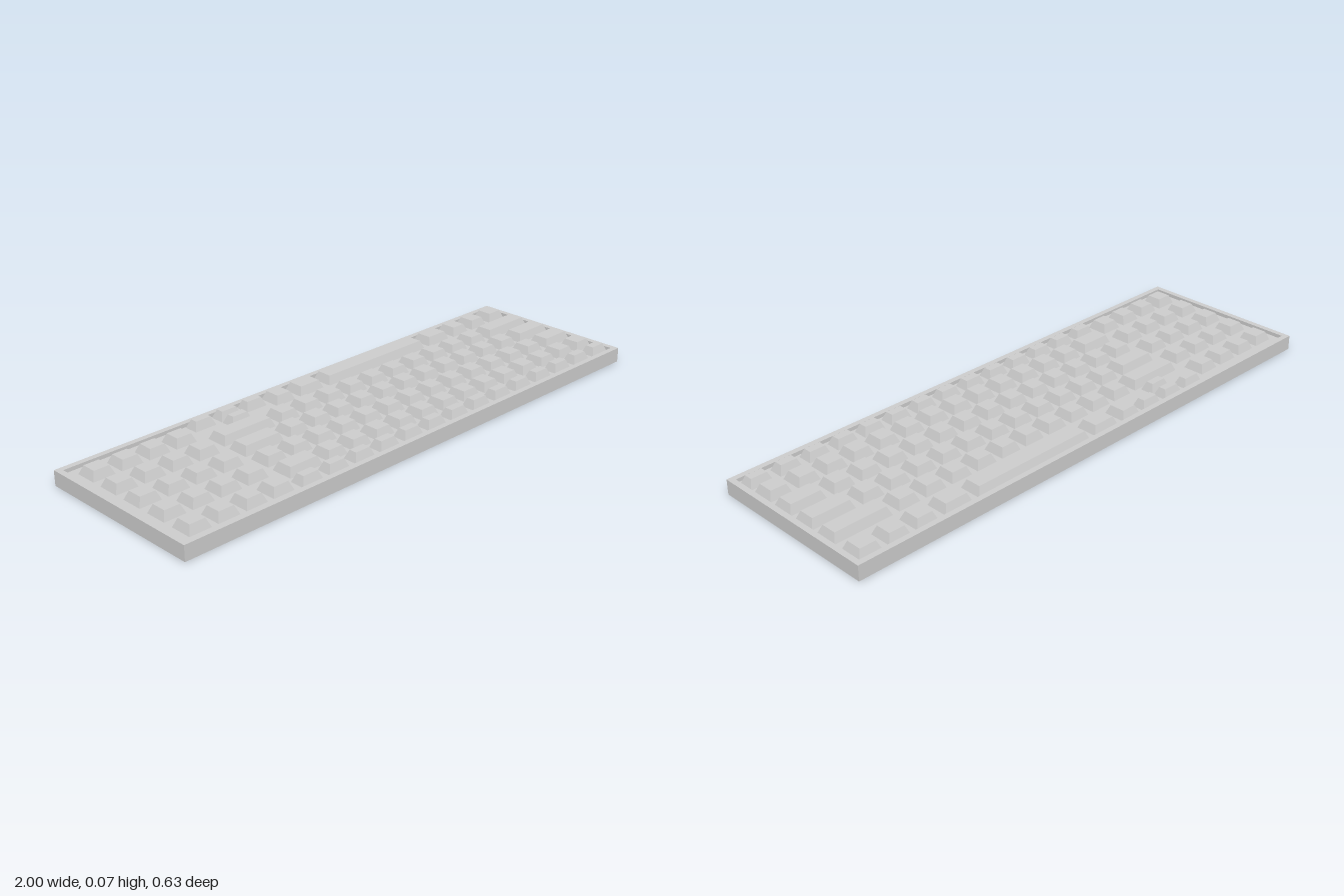
import * as THREE from 'three';

const material = new THREE.MeshStandardMaterial({ color: 0xcccccc, flatShading: true });
const FLOOR = 0.04, RIM = 0.053, KEY_TOP = 0.07, BEVEL = 0.0125;

// Joins a stack of centred rectangles [width, depth, y] into a flat-sided solid.
function loftRects(rects) {
  const corners = [[-1, 1], [1, 1], [1, -1], [-1, -1]];
  const point = ([w, d, y], i) => {
    const [sx, sz] = corners[i % 4];
    return [sx * w / 2, y, sz * d / 2];
  };
  const positions = [];
  for (let r = 0; r < rects.length - 1; r++) {
    for (let i = 0; i < 4; i++) {
      const a = point(rects[r], i), b = point(rects[r], i + 1);
      const c = point(rects[r + 1], i + 1), d = point(rects[r + 1], i);
      if (rects[r][0] > 0) positions.push(...a, ...b, ...c);
      if (rects[r + 1][0] > 0) positions.push(...a, ...c, ...d);
      else positions.push();
    }
  }
  const geometry = new THREE.BufferGeometry();
  geometry.setAttribute('position', new THREE.Float32BufferAttribute(positions, 3));
  geometry.computeVertexNormals();
  return geometry;
}

// Tapered keycap covering x0..x1, z0..z1 at the tray floor.
function addKey(group, name, x0, x1, z0, z1) {
  const w = x1 - x0, d = z1 - z0;
  const key = new THREE.Mesh(loftRects([
    [0, 0, FLOOR], [w, d, FLOOR],
    [w - 2 * BEVEL, d - 2 * BEVEL, KEY_TOP], [0, 0, KEY_TOP],
  ]), material);
  key.position.set((x0 + x1) / 2, 0, (z0 + z1) / 2);
  key.name = name;
  group.add(key);
}

export function createModel() {
  const model = new THREE.Group();
  model.name = 'keyboard';

  // Case with a shallow tray sunk into its top
  const body = new THREE.Mesh(loftRects([
    [0, 0, 0], [2, 0.626, 0], [2, 0.626, RIM],
    [1.96, 0.586, RIM], [1.96, 0.586, FLOOR], [0, 0, FLOOR],
  ]), material);
  body.name = 'case';
  model.add(body);

  // Number pad: 4 x 5 square keys
  const pad = new THREE.Group();
  pad.name = 'numberPad';
  for (let col = 0; col < 4; col++) {
    for (let row = 0; row < 5; row++) {
      const x = -0.909 + col * 0.1035, z = -0.222 + row * 0.1135;
      addKey(pad, 'padKey', x - 0.04, x + 0.04, z - 0.039, z + 0.039);
    }
  }
  model.add(pad);

  // Main rows: evenly spaced keys between first and last left edge, plus wide keys
  const rows = [
    { name: 'spaceRow', z: -0.246, wide: [[-0.2, -0.12], [-0.093, 0.013], [0.04, 0.522],
      [0.548, 0.655], [0.683, 0.763], [0.787, 0.867], [0.891, 0.973]] },
    { name: 'shiftRow', z: -0.134, first: -0.281, last: 0.655, count: 10, wide: [[-0.52, -0.307], [0.76, 0.973]] },
    { name: 'homeRow', z: -0.032, first: -0.333, last: 0.706, count: 11, wide: [[-0.52, -0.36], [0.813, 0.973]] },
    { name: 'upperRow', z: 0.07, first: -0.519, last: 0.733, count: 13, wide: [[0.84, 0.973]] },
    { name: 'digitRow', z: 0.171, first: -0.361, last: 0.891, count: 13, wide: [[-0.52, -0.387]] },
    { name: 'functionRow', z: 0.254, first: -0.533, last: 0.891, count: 14, depth: 0.054, width: 0.083 },
  ];
  for (const { name, z, first, last, count = 0, wide = [], depth = 0.08, width = 0.08 } of rows) {
    const row = new THREE.Group();
    row.name = name;
    for (let i = 0; i < count; i++) {
      const x = first + (last - first) * i / (count - 1);
      addKey(row, 'key', x, x + width, z - depth / 2, z + depth / 2);
    }
    for (const [x0, x1] of wide) addKey(row, 'rowKey', x0, x1, z - depth / 2, z + depth / 2);
    model.add(row);
  }

  // Arrow cluster of half-depth keys
  const arrows = new THREE.Group();
  arrows.name = 'arrowKeys';
  for (const x of [-0.519, -0.412, -0.304]) addKey(arrows, 'arrowKey', x, x + 0.084, -0.289, -0.238);
  addKey(arrows, 'arrowKey', -0.412, -0.328, -0.234, -0.183);
  model.add(arrows);

  return model;
}
